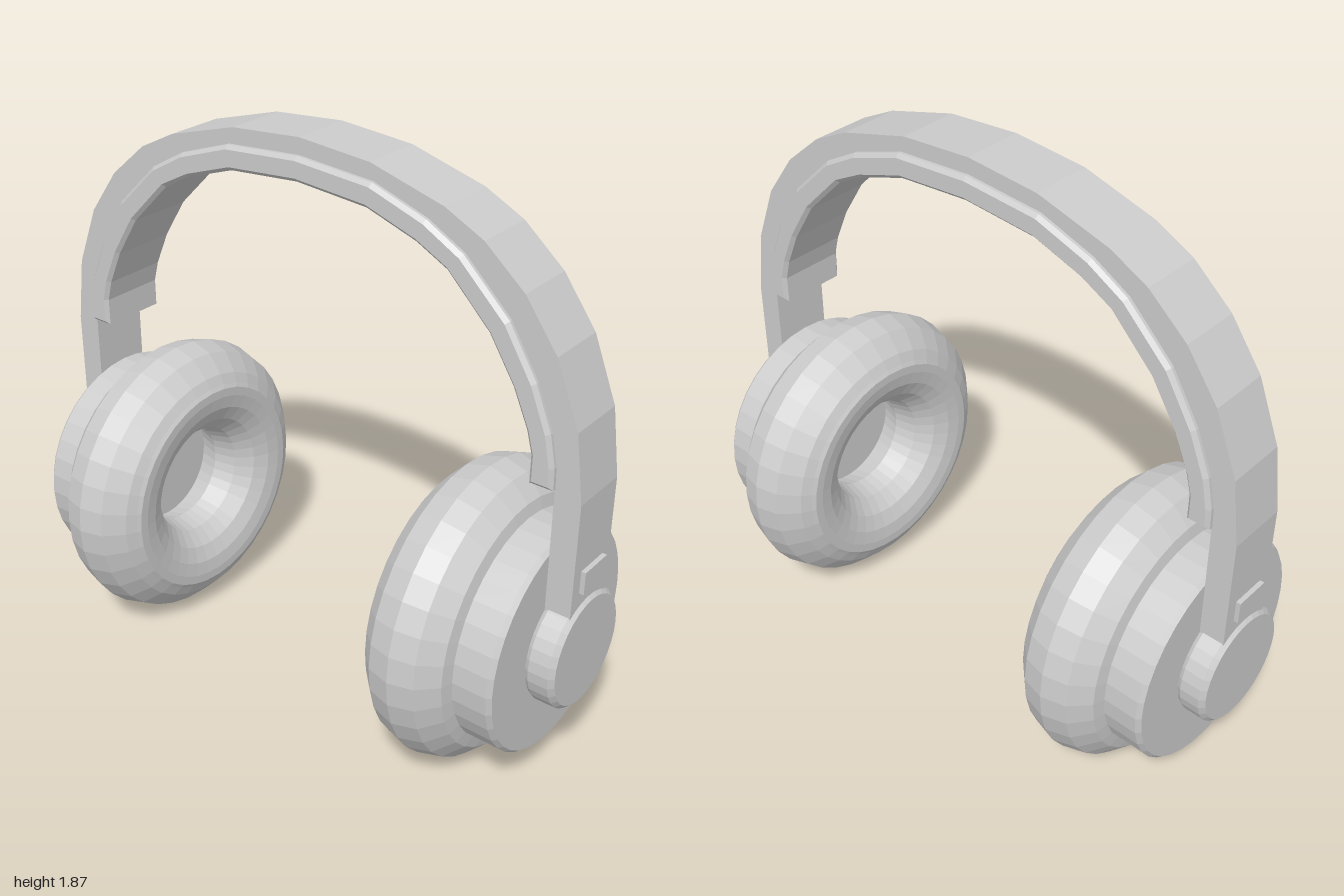
import * as THREE from 'three';

const material = new THREE.MeshStandardMaterial({ color: 0xcccccc, flatShading: true, side: THREE.DoubleSide });
const CUP_Y = 0.49;

function addMesh(parent, name, geometry) {
  const mesh = new THREE.Mesh(geometry, material);
  mesh.name = name;
  parent.add(mesh);
  return mesh;
}

// Turned part around the x axis; profile points are [radius, x]
function turned(profile, segments = 36) {
  const points = profile.map(([r, x]) => new THREE.Vector2(r, x));
  return new THREE.LatheGeometry(points, segments).rotateZ(-Math.PI / 2).translate(0, CUP_Y, 0);
}

// Arch between two half curves running from the right foot up to the crown
function arch(outer, inner, depth, bevel) {
  const full = (half) => [...half, ...half.slice(0, -1).reverse().map(([x, y]) => [-x, y])];
  const outline = [...full(outer), ...full(inner).reverse()].map(([x, y]) => new THREE.Vector2(x, y));
  const body = depth - 2 * bevel;
  return new THREE.ExtrudeGeometry(new THREE.Shape(outline), {
    depth: body, bevelEnabled: bevel > 0, bevelSize: bevel, bevelOffset: -bevel, bevelThickness: bevel, bevelSegments: 1,
  }).translate(0, 0, -body / 2);
}

// One ear cup, built on the +x side
function createEarCup() {
  const cup = new THREE.Group();

  // Soft ring with a wide rim and a funnel-shaped opening
  const cushion = [[0.172, 0.63], [0.192, 0.553], [0.24, 0.503], [0.29, 0.478], [0.335, 0.47], [0.365, 0.47], [0.378, 0.478]];
  for (const deg of [150, 120, 90, 60, 30, 0, -30, -60, -90]) {
    // outer arc first, then the rear half of the opening
    const a = THREE.MathUtils.degToRad(deg);
    if (deg < 150 || deg === 150) cushion.push([0.332 + 0.158 * Math.sin(a), 0.63 + 0.156 * Math.cos(a)]);
  }
  // keep only the part of the arc lying outside the rim
  addMesh(cup, 'earCushion', turned(cushion.filter(([r, x], i) => i < 8 || x > 0.47)));

  addMesh(cup, 'cupShell', turned([[0, 0.71], [0.355, 0.71], [0.372, 0.73], [0.372, 0.888], [0.36, 0.902], [0, 0.902]]));
  addMesh(cup, 'pivotHub', turned([[0, 0.89], [0.178, 0.89], [0.192, 0.915], [0.192, 0.98], [0.177, 0.996], [0, 0.996]], 32));
  addMesh(cup, 'sliderButton', new THREE.BoxGeometry(0.04, 0.075, 0.12).translate(0.98, 0.757, 0));
  return cup;
}

export function createModel() {
  const model = new THREE.Group();
  model.name = 'headphones';

  // Outer band with straight arms reaching into the hubs
  const bandOuter = [[0.985, 0.56], [0.985, 1.03], [0.955, 1.245], [0.875, 1.445], [0.765, 1.595],
    [0.63, 1.71], [0.5, 1.775], [0.25, 1.845], [0, 1.865]];
  const padOuter = [[0.9, 1.12], [0.88, 1.22], [0.825, 1.355], [0.73, 1.51], [0.575, 1.66],
    [0.45, 1.73], [0.265, 1.793], [0, 1.813]];
  addMesh(model, 'headband', arch(bandOuter, [[0.903, 0.56], ...padOuter], 0.2, 0));

  // Wider pad lining the inside of the band
  const padInner = [[0.825, 1.05], [0.825, 1.14], [0.806, 1.21], [0.755, 1.325], [0.67, 1.46], [0.525, 1.605],
    [0.42, 1.66], [0.25, 1.717], [0, 1.737]];
  addMesh(model, 'headbandPad', arch([[0.902, 1.05], ...padOuter], padInner, 0.244, 0.012));

  // Ear cups, the second one turned to face the first
  for (const [name, turn] of [['leftEarCup', 0], ['rightEarCup', Math.PI]]) {
    const cup = createEarCup();
    cup.name = name;
    cup.rotation.y = turn;
    model.add(cup);
  }
  return model;
}
